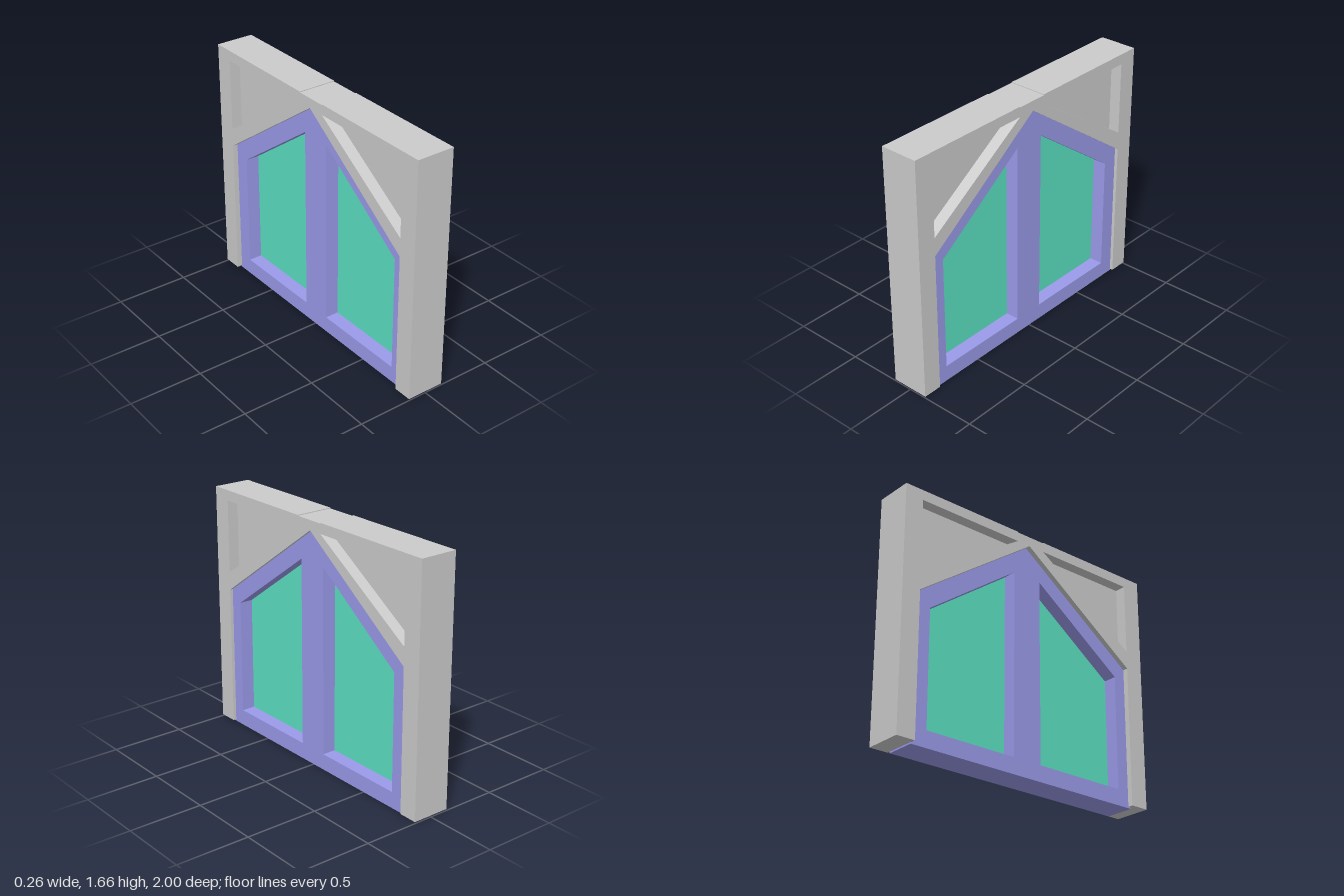
import * as THREE from 'three';

const grey = new THREE.MeshStandardMaterial({ color: 0xcccccc, flatShading: true });
const blue = new THREE.MeshStandardMaterial({ color: 0x9a9aea, flatShading: true });
const teal = new THREE.MeshStandardMaterial({ color: 0x5be1c1, flatShading: true });

const points = (list) => list.map(([u, v]) => new THREE.Vector2(u, v));

// Slab with an outline in (u = -z, v = y), running from x0 to x1
function slab(name, outline, holes, x0, x1, material) {
  const shape = new THREE.Shape(points(outline));
  holes.forEach((h) => shape.holes.push(new THREE.Path(points(h))));
  const geometry = new THREE.ExtrudeGeometry(shape, { depth: x1 - x0, bevelEnabled: false });
  geometry.rotateY(Math.PI / 2);
  geometry.translate(x0, 0, 0);
  const mesh = new THREE.Mesh(geometry, material);
  mesh.name = name;
  return mesh;
}

export function createModel() {
  const model = new THREE.Group();
  model.name = 'gabledWindow';

  // Triangular recesses in the upper corners
  const spandrels = [
    [[-0.87, 1.1], [-0.12, 1.595], [-0.87, 1.595]],
    [[0.87, 1.1], [0.87, 1.595], [0.1, 1.595]],
  ];
  // Window openings, one each side of the mullion
  const panes = [
    [[-0.785, 0.11], [-0.115, 0.11], [-0.115, 1.38], [-0.785, 0.9]],
    [[0.1, 0.11], [0.765, 0.11], [0.765, 0.9], [0.1, 1.38]],
  ];

  // Outer surround: two posts joined over a gabled opening, with a shallow notch on top
  const surround = [
    [-1, 0.01], [-0.87, 0.01], [-0.87, 0.975], [0, 1.594], [0.87, 0.975], [0.87, 0.01],
    [1, 0.01], [1, 1.665], [0.1, 1.665], [0.1, 1.66], [-0.12, 1.66], [-0.12, 1.665], [-1, 1.665],
  ];
  model.add(slab('surround', surround, spandrels, -0.13, 0.13, grey));

  // Recessed panels closing the triangles
  spandrels.forEach((s) => model.add(slab('spandrelPanel', s, [], -0.052, 0.052, grey)));

  // Gabled window frame with central mullion
  const frame = [[-0.89, 0], [0.873, 0], [0.873, 0.975], [0, 1.596], [-0.89, 0.963]];
  model.add(slab('windowFrame', frame, panes, -0.094, 0.108, blue));

  // Thin glazing
  panes.forEach((p) => model.add(slab('glass', p, [], 0, 0.014, teal)));

  return model;
}
